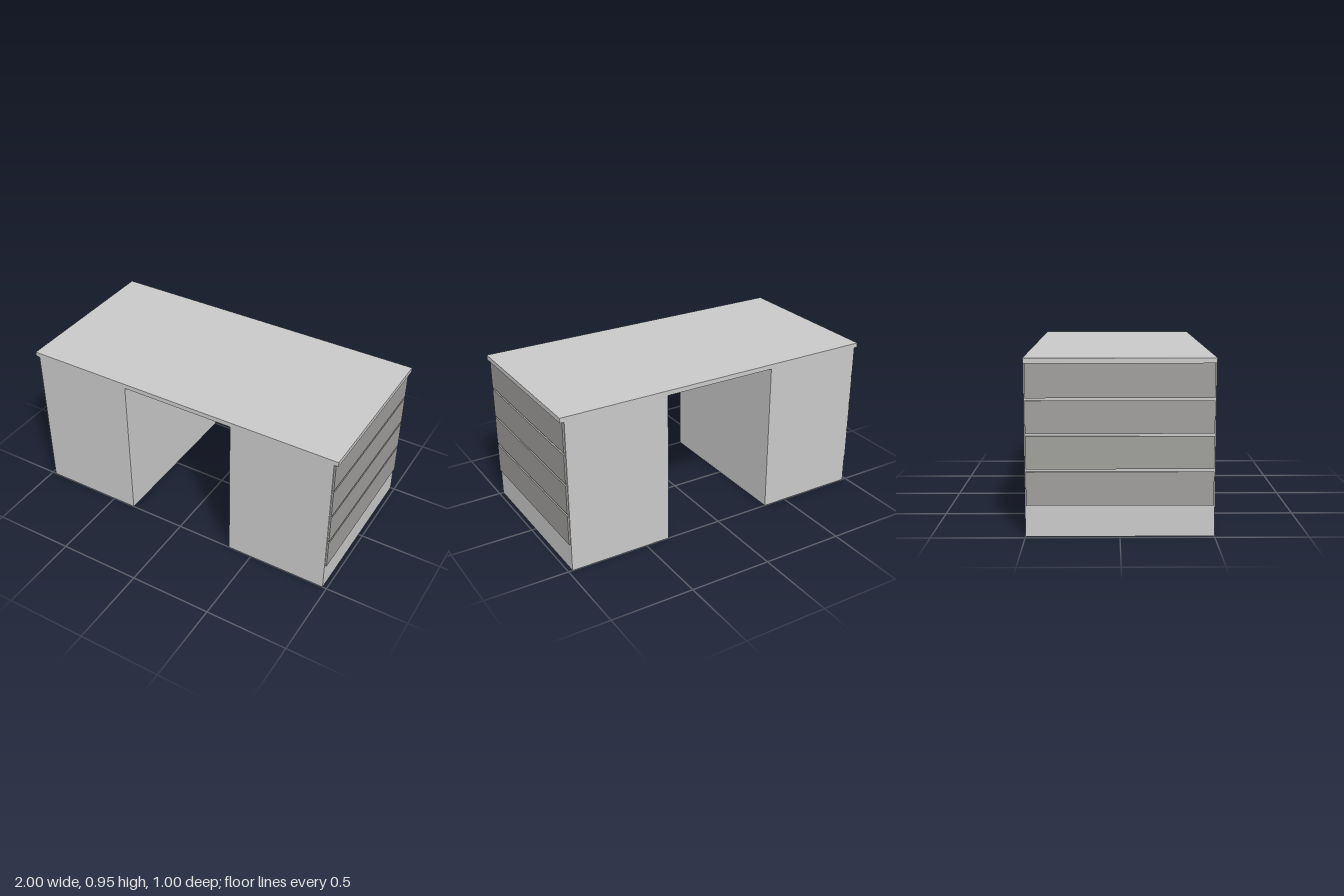
import * as THREE from 'three';

export function createModel() {
  const desk = new THREE.Group();
  desk.name = 'desk';
  const bodyGrey = new THREE.MeshStandardMaterial({ name: 'bodyGrey', color: 0xc9c9c9 });
  const drawerGrey = new THREE.MeshStandardMaterial({ name: 'drawerGrey', color: 0x9f9e9b });

  // Box given by its extents on x and y, centred on z
  function block(name, x0, x1, y0, y1, depth, material) {
    const mesh = new THREE.Mesh(new THREE.BoxGeometry(x1 - x0, y1 - y0, depth), material);
    mesh.name = name;
    mesh.position.set((x0 + x1) / 2, (y0 + y1) / 2, 0);
    return mesh;
  }

  // Worktop
  desk.add(block('worktop', -1, 1, 0.922, 0.95, 1, bodyGrey));

  // Two pedestals, each with four drawer fronts on the outer side
  const drawers = [[0.17, 0.351], [0.365, 0.54], [0.553, 0.727], [0.74, 0.922]];
  for (const side of [1, -1]) {
    const pedestal = new THREE.Group();
    pedestal.name = side > 0 ? 'leftPedestal' : 'rightPedestal';
    pedestal.add(block('cabinet', -0.3125, 0.3125, 0, 0.922, 1, bodyGrey));
    drawers.forEach(([y0, y1], i) => {
      pedestal.add(block(`drawerFront${i + 1}`, 0.3125, 0.3225, y0, y1, 0.988, drawerGrey));
    });
    pedestal.position.x = side * 0.6625;
    if (side < 0) pedestal.rotation.y = Math.PI;
    desk.add(pedestal);
  }
  return desk;
}
